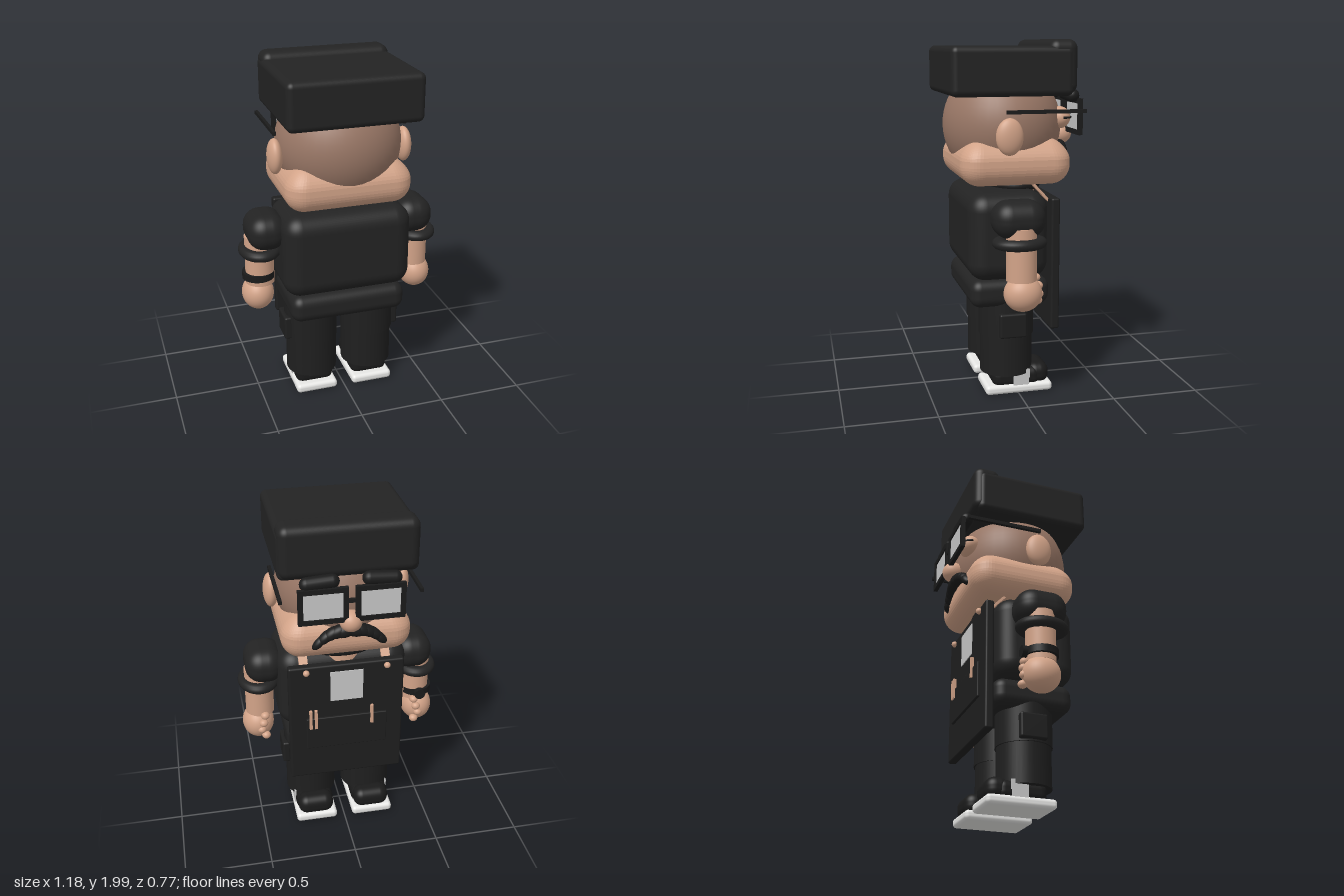
import * as THREE from 'three';
import { RoundedBoxGeometry } from 'three/addons/geometries/RoundedBoxGeometry.js';

const mat = (name, color, side = THREE.FrontSide) => {
  const m = new THREE.MeshStandardMaterial({ color, side });
  m.name = name;
  return m;
};

export function createModel() {
  const root = new THREE.Group();
  root.name = 'cartoonCraftsman';
  const skin = mat('skin', 0xd2a388);
  const scalp = mat('shavedScalp', 0x997766);
  const cloth = mat('blackCloth', 0x232323);
  const trousers = mat('trouserCloth', 0x1f1f1f);
  const trim = mat('blackTrim', 0x1b1b1b);
  const white = mat('soleWhite', 0xe8e8e6);
  const grey = mat('paleGrey', 0xc8c8c8);

  const add = (name, geo, m, x = 0, y = 0, z = 0, parent = root) => {
    const mesh = new THREE.Mesh(geo, m);
    mesh.name = name;
    mesh.position.set(x, y, z);
    parent.add(mesh);
    return mesh;
  };
  const rbox = (w, h, d, r) => new RoundedBoxGeometry(w, h, d, 6, r);
  const box = (w, h, d) => new THREE.BoxGeometry(w, h, d);
  const ball = (rx, ry, rz) => new THREE.SphereGeometry(1, 40, 28).scale(rx, ry, rz);
  const cyl = (r, h) => new THREE.CylinderGeometry(r, r, h, 40);
  const ring = (rx, rz, tube) =>
    new THREE.TorusGeometry(1, tube / rx, 14, 48).rotateX(Math.PI / 2).scale(rx, rx, rz);

  // Hat: square crown with a raised roll over the face
  add('hatCrown', rbox(0.75, 0.265, 0.67, 0.035), cloth, 0, 1.8325, 0.05);
  add('hatRoll', rbox(0.74, 0.29, 0.16, 0.05), cloth, 0, 1.855, -0.23);

  // Head
  add('skull', ball(0.355, 0.34, 0.335), scalp, 0, 1.53, 0.03);
  const jawGeo = rbox(0.72, 0.255, 0.62, 0.11);
  const jp = jawGeo.attributes.position;
  for (let i = 0; i < jp.count; i++) {
    // Draw the top of the jaw inward so the cheeks bulge low
    const k = 1 - 0.07 * THREE.MathUtils.smoothstep(jp.getY(i), 0, 0.13);
    jp.setX(i, jp.getX(i) * k);
    jp.setZ(i, jp.getZ(i) * k);
  }
  jawGeo.computeVertexNormals();
  add('jaw', rbox(0.72, 0.255, 0.61, 0.11).copy(jawGeo), skin, 0, 1.34, 0.015);
  add('nose', ball(0.062, 0.06, 0.065), skin, 0, 1.465, -0.32);
  add('neck', cyl(0.14, 0.16), skin, 0, 1.19, -0.02);

  // Spectacle frame outline with a hole for the lens
  const rect = (s, w, h) => s.moveTo(-w, -h).lineTo(w, -h).lineTo(w, h).lineTo(-w, h).closePath();
  const frameShape = rect(new THREE.Shape(), 0.133, 0.1);
  frameShape.holes.push(rect(new THREE.Path(), 0.106, 0.073));
  const frameGeo = new THREE.ExtrudeGeometry(frameShape, { depth: 0.024, bevelEnabled: false });
  add('glassesBridge', box(0.08, 0.02, 0.02), trim, 0, 1.6, -0.35);

  for (const s of [1, -1]) {
    // Face
    add('ear', ball(0.042, 0.1, 0.075), skin, s * 0.373, 1.49, 0.075);
    add('eyelid', ball(0.075, 0.062, 0.06), skin, s * 0.145, 1.57, -0.27);
    const lash = add('lashLine', new THREE.TorusGeometry(0.075, 0.006, 8, 24, Math.PI), trim,
      s * 0.145, 1.572, -0.27);
    lash.rotation.x = -Math.PI / 2;
    lash.scale.y = 0.83;
    const brow = add('eyebrow', new THREE.CapsuleGeometry(0.038, 0.135, 8, 20).rotateZ(Math.PI / 2),
      trim, s * 0.165, 1.7, -0.317);
    brow.rotation.z = -s * 0.06;

    // Glasses
    add('glassesFrame', frameGeo, trim, s * 0.152, 1.58, -0.362);
    add('lens', box(0.216, 0.15, 0.008), grey, s * 0.152, 1.58, -0.35);
    add('glassesTemple', box(0.018, 0.02, 0.44), trim, s * 0.373, 1.62, -0.13);

    // Moustache: overlapping locks drooping to the side
    for (let i = 0; i < 5; i++) {
      const lock = add('moustacheLock', ball(0.062 - i * 0.003, 0.038 - i * 0.003, 0.036), trim,
        s * (0.025 + i * 0.036), 1.4 - i * i * 0.0042, -0.305 + i * 0.005);
      lock.rotation.z = -s * (0.3 + i * 0.14);
    }

    // Arm
    add('sleeve', rbox(0.225, 0.205, 0.29, 0.095), cloth, s * 0.435, 1.06, 0.045);
    add('sleeveCuff', ring(0.09, 0.112, 0.03), cloth, s * 0.47, 0.937, 0.045);
    add('forearm', cyl(0.083, 0.29), skin, s * 0.47, 0.875, 0.035);
    add('hand', ball(0.092, 0.1, 0.105), skin, s * 0.485, 0.66, 0.03);
    for (let i = 0; i < 4; i++)
      add('finger', ball(0.026, 0.023, 0.026), skin, s * (0.45 + 0.012 * (i % 3)),
        0.735 - i * 0.043, i === 0 ? -0.05 : -0.062);

    // Leg with cargo pocket
    add('upperLeg', cyl(0.157, 0.22), trousers, s * 0.175, 0.46, 0.048);
    add('lowerLeg', cyl(0.15, 0.26), trousers, s * 0.173, 0.255, 0.048);
    add('cargoPocket', rbox(0.045, 0.14, 0.155, 0.012), trousers, s * 0.328, 0.43, 0.045);

    // Shoe
    add('shoeSole', rbox(0.25, 0.054, 0.39, 0.022), white, s * 0.173, 0.035, -0.005);
    add('shoeBody', rbox(0.226, 0.11, 0.28, 0.045), trim, s * 0.173, 0.095, 0.005);
    add('shoeToe', rbox(0.215, 0.125, 0.13, 0.055), trim, s * 0.173, 0.103, -0.125);
    add('shoeStripe', box(0.009, 0.07, 0.09), grey, s * 0.287, 0.09, -0.015);
    add('shoeStripeTip', box(0.009, 0.055, 0.03), grey, s * 0.287, 0.12, -0.05);

    // Apron strap and rivet
    const strap = add('apronStrap', box(0.05, 0.21, 0.014), skin, s * 0.235, 1.17, -0.13);
    strap.rotation.x = 0.75;
    add('apronRivet', ball(0.018, 0.018, 0.018), skin, s * 0.23, 1.11, -0.232);
  }

  // Body
  add('torso', rbox(0.745, 0.49, 0.45, 0.1), cloth, 0, 0.935, 0.065);
  add('shirtHem', rbox(0.675, 0.16, 0.45, 0.06), cloth, 0, 0.615, 0.055);
  add('collar', ring(0.185, 0.135, 0.028), trim, 0, 1.193, -0.035);

  // Wristwatch on one arm
  add('watchBand', cyl(0.092, 0.04), trim, -0.48, 0.78, 0.035);
  add('watchCase', cyl(0.032, 0.03).rotateX(Math.PI / 2), trim, -0.48, 0.78, -0.065);

  // Apron
  add('apron', rbox(0.66, 0.75, 0.05, 0.012), trousers, 0, 0.765, -0.2);
  add('apronPocket', rbox(0.47, 0.205, 0.018, 0.006), trousers, 0, 0.7, -0.23);
  add('apronPatch', box(0.188, 0.19, 0.008), grey, 0, 1.003, -0.226);
  for (const x of [0.21, 0.18, -0.145])
    add('pocketTool', box(0.016, 0.12, 0.018), skin, x, 0.8, -0.241);

  return root;
}
